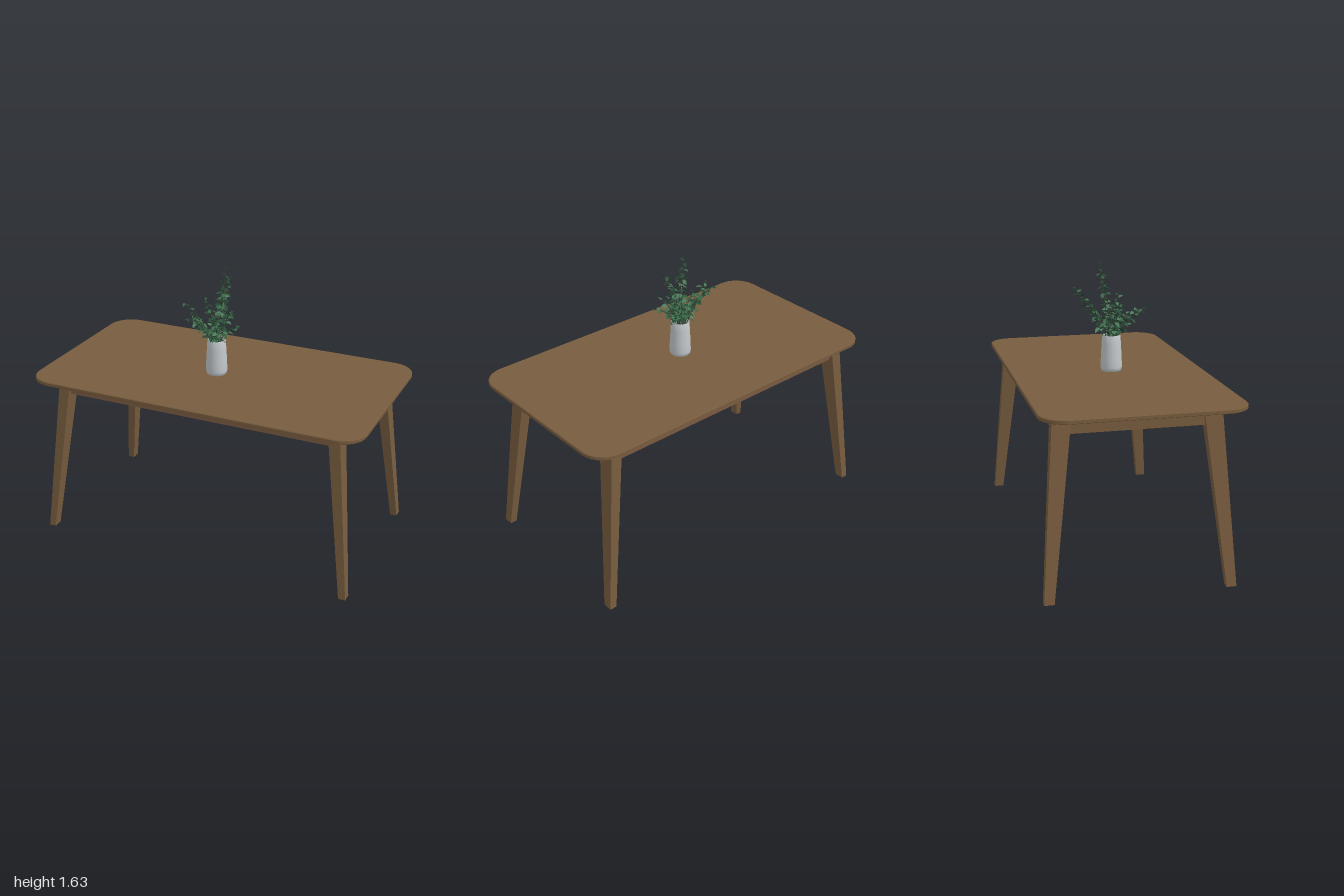
import * as THREE from 'three';
import { mergeGeometries, toCreasedNormals } from 'three/addons/utils/BufferGeometryUtils.js';

const mat = (name, color, side = THREE.FrontSide) => {
  const m = new THREE.MeshStandardMaterial({ color, side });
  m.name = name;
  return m;
};

function add(parent, name, geometry, material) {
  const mesh = new THREE.Mesh(geometry, material);
  mesh.name = name;
  parent.add(mesh);
  return mesh;
}

// Small seeded generator for leaf variation
function seeded(seed) {
  return () => {
    seed = (seed * 16807) % 2147483647;
    return seed / 2147483647;
  };
}

// Rounded rectangle outline at height y, pulled in by inset
function outline(inset, y) {
  const hx = 1 - inset, hz = 0.555 - inset, r = Math.max(0.14 - inset, 0.02), n = 10;
  const pts = [];
  for (let c = 0; c < 4; c++) {
    const sx = c === 0 || c === 3 ? 1 : -1, sz = c < 2 ? 1 : -1;
    for (let i = 0; i <= n; i++) {
      const a = (c + i / n) * Math.PI / 2;
      pts.push([sx * (hx - r) + r * Math.cos(a), y, sz * (hz - r) + r * Math.sin(a)]);
    }
  }
  return pts;
}

// Table top: stacked outlines with an undercut edge
function topGeometry() {
  const rings = [[0.004, 1], [0, 0.996], [0, 0.979], [0.004, 0.976], [0.13, 0.962]].map(([i, y]) => outline(i, y));
  const n = rings[0].length, pos = [];
  for (let k = 0; k < n; k++) {
    const j = (k + 1) % n;
    pos.push(0, 1, 0, ...rings[0][j], ...rings[0][k]);
    for (let r = 0; r + 1 < rings.length; r++) {
      const a = rings[r], b = rings[r + 1];
      pos.push(...a[k], ...a[j], ...b[k], ...a[j], ...b[j], ...b[k]);
    }
    const last = rings[rings.length - 1];
    pos.push(0, 0.962, 0, ...last[k], ...last[j]);
  }
  const g = new THREE.BufferGeometry();
  g.setAttribute('position', new THREE.Float32BufferAttribute(pos, 3));
  return toCreasedNormals(g, 0.5);
}

// Tapered leg splaying outward on both axes
function legGeometry(sx, sz) {
  const g = new THREE.BoxGeometry(1, 1, 1), p = g.attributes.position;
  for (let i = 0; i < p.count; i++) {
    const top = p.getY(i) > 0, outX = p.getX(i) * sx > 0, outZ = p.getZ(i) * sz > 0;
    const x = top ? (outX ? 0.857 : 0.79) : (outX ? 0.957 : 0.916);
    const z = top ? (outZ ? 0.453 : 0.352) : (outZ ? 0.523 : 0.468);
    p.setXYZ(i, sx * x, top ? 0.966 : 0, sz * z);
  }
  g.computeVertexNormals();
  return g;
}

// Pointed leaf, folded along its middle, growing along +z
function leafGeometry() {
  const g = new THREE.BufferGeometry();
  g.setAttribute('position', new THREE.Float32BufferAttribute([
    0, 0, 0, 0, -0.06, 0.45, 0, -0.12, 1,
    0.3, 0.08, 0.3, 0.24, 0.03, 0.65, -0.3, 0.08, 0.3, -0.24, 0.03, 0.65], 3));
  g.setIndex([0, 1, 3, 3, 1, 4, 4, 1, 2, 0, 5, 1, 5, 6, 1, 6, 2, 1]);
  const flat = g.toNonIndexed();
  flat.computeVertexNormals();
  return flat;
}

export function createModel() {
  const model = new THREE.Group();
  model.name = 'diningTableWithPlant';
  const wood = mat('brown wood', 0x775c3e);
  const railWood = mat('reddish wood', 0x7b5a41);
  const ceramic = mat('pale ceramic', 0xc3c7ca, THREE.DoubleSide);
  const stemGreen = mat('stem green', 0x34432f);
  const leafMats = [
    mat('mid leaf green', 0x3b6a49, THREE.DoubleSide),
    mat('dark leaf green', 0x294a38, THREE.DoubleSide),
    mat('soft leaf green', 0x4f7d5c, THREE.DoubleSide)];

  // Table
  const table = new THREE.Group();
  table.name = 'table';
  model.add(table);
  add(table, 'tableTop', topGeometry(), wood);

  const frame = new THREE.Group();
  frame.name = 'frame';
  frame.position.z = -0.027;
  table.add(frame);
  for (const s of [-1, 1]) {
    for (const t of [-1, 1]) add(frame, 'leg', legGeometry(s, t), wood);
    add(frame, 'longRail', new THREE.BoxGeometry(1.6, 0.084, 0.035), railWood).position.set(0, 0.922, s * 0.415);
    add(frame, 'shortRail', new THREE.BoxGeometry(0.035, 0.084, 0.73), wood).position.set(s * 0.825, 0.922, 0);
  }

  // Vase
  const plant = new THREE.Group();
  plant.name = 'pottedPlant';
  plant.position.set(-0.038, 1, 0.026);
  model.add(plant);
  const profile = [[0, 0.002], [0.054, 0.002], [0.06, 0.008], [0.062, 0.025], [0.061, 0.07], [0.056, 0.16],
    [0.053, 0.207], [0.051, 0.212], [0.047, 0.207], [0.049, 0.15], [0, 0.15]];
  add(plant, 'vase', toCreasedNormals(new THREE.LatheGeometry(profile.map(([x, y]) => new THREE.Vector2(x, y)), 32), 0.7), ceramic);

  // Stem tips relative to the vase foot: x, y, z
  const tips = [
    [0.03, 0.62, -0.07], [0.04, 0.54, -0.03], [-0.02, 0.51, -0.24], [-0.03, 0.44, -0.17],
    [-0.07, 0.4, 0.215], [-0.05, 0.36, 0.13], [-0.2, 0.4, 0.0], [-0.13, 0.35, 0.03],
    [0.155, 0.33, 0.03], [0.1, 0.4, 0.02], [0.05, 0.32, 0.1], [0.06, 0.35, -0.09],
    [-0.05, 0.45, 0.03], [-0.06, 0.34, -0.08], [0.0, 0.4, 0.06], [0.07, 0.29, 0.05], [-0.08, 0.28, 0.06]];
  const rnd = seeded(4127);
  const leaf = leafGeometry(), leaves = [[], [], []], stems = [];
  const dummy = new THREE.Object3D();
  for (const [x, y, z] of tips) {
    const curve = new THREE.CatmullRomCurve3([
      new THREE.Vector3(x * 0.1, 0.15, z * 0.1),
      new THREE.Vector3(x * 0.22, 0.22, z * 0.22),
      new THREE.Vector3(x * 0.6, 0.22 + (y - 0.22) * 0.62, z * 0.6),
      new THREE.Vector3(x, y, z)]);
    stems.push(new THREE.TubeGeometry(curve, 10, 0.0022, 5));
    const count = Math.round(curve.getLength() / 0.019);
    const turn = rnd() * 6;
    for (let i = 0; i < count; i++) {
      // Leaves spiral up each stem, shrinking toward the tip
      const t = 0.28 + 0.72 * (i / (count - 1));
      const a = turn + i * 2.4, lift = (rnd() - 0.6) * 1.3;
      dummy.position.copy(curve.getPointAt(t));
      const target = new THREE.Vector3(Math.cos(a), lift, Math.sin(a)).add(dummy.position);
      dummy.up.set(0, 1, 0);
      dummy.lookAt(target);
      dummy.rotateZ((rnd() - 0.5) * 1.4);
      dummy.scale.setScalar((0.045 - 0.012 * t) * (0.8 + 0.4 * rnd()));
      dummy.updateMatrix();
      leaves[Math.floor(rnd() * 2.6)].push(leaf.clone().applyMatrix4(dummy.matrix));
    }
  }
  add(plant, 'stems', mergeGeometries(stems), stemGreen);
  leaves.forEach((set, i) => add(plant, 'leaves', mergeGeometries(set), leafMats[i]));
  return model;
}
